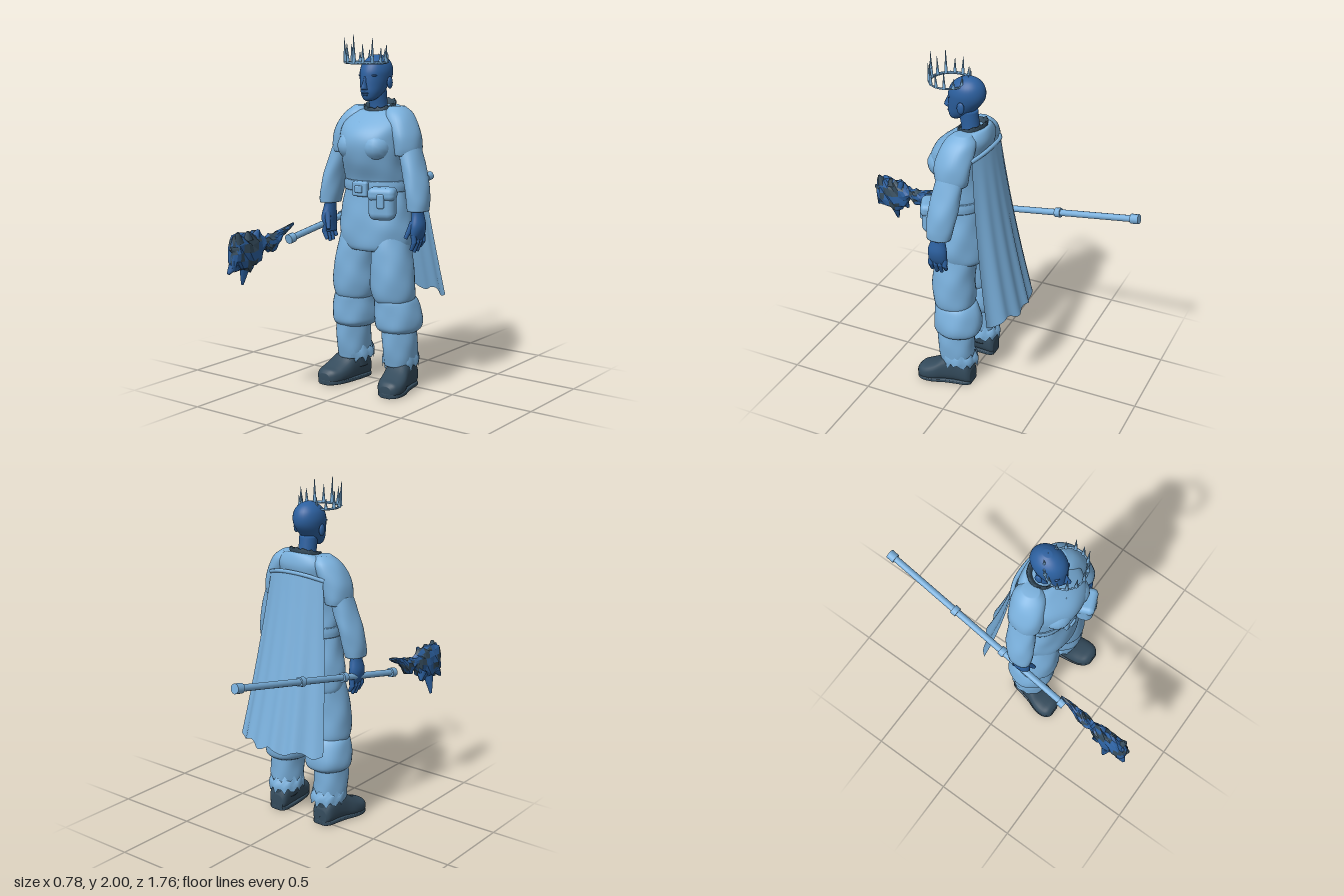
import * as THREE from 'three';
import { RoundedBoxGeometry } from 'three/addons/geometries/RoundedBoxGeometry.js';

const CX = 0.02; // body midline

const cloth = new THREE.MeshStandardMaterial({ color: 0x7ab0dc, side: THREE.DoubleSide });
cloth.name = 'paleBlueCloth';
const skin = new THREE.MeshStandardMaterial({ color: 0x2c609f });
skin.name = 'deepBlueSkin';
const leather = new THREE.MeshStandardMaterial({ color: 0x344b5c, side: THREE.DoubleSide });
leather.name = 'darkSlateLeather';

// Smooth skin over elliptical rows [x, y, z, rx, rz, tilt], listed bottom to top
function loft(rows, { seg = 32, steps = 5, power = 2, wave = () => 1, rag = () => 0, caps = true } = {}) {
  const ease = (a, b, c, d, t) =>
    b + 0.5 * t * (c - a + t * (2 * a - 5 * b + 4 * c - d + t * (3 * (b - c) + d - a)));
  const rings = [];
  for (let i = 0; i < rows.length - 1; i++) {
    const last = i === rows.length - 2;
    for (let s = 0; s < steps + (last ? 1 : 0); s++) {
      const r = [rows[Math.max(i - 1, 0)], rows[i], rows[i + 1], rows[Math.min(i + 2, rows.length - 1)]];
      rings.push([0, 1, 2, 3, 4, 5].map(k => ease(...r.map(q => q[k] || 0), s / steps)));
    }
  }
  if (caps) {
    const shut = r => [r[0], r[1], r[2], 0.0005, 0.0005, 0];
    rings.unshift(shut(rings[0]));
    rings.push(shut(rings[rings.length - 1]));
  }
  const pos = [], idx = [];
  const bend = v => Math.sign(v) * Math.abs(v) ** (2 / power);
  rings.forEach(([x, y, z, rx, rz, tilt], j) => {
    for (let i = 0; i < seg; i++) {
      const a = i / seg * Math.PI * 2, w = wave(a, y), sz = bend(Math.sin(a)) * rz * w;
      pos.push(x + bend(Math.cos(a)) * rx * w, y - tilt * sz + rag(i, j), z + sz);
      if (j < rings.length - 1) {
        const p = j * seg + i, q = j * seg + (i + 1) % seg;
        idx.push(p, p + seg, q, q, p + seg, q + seg);
      }
    }
  });
  const g = new THREE.BufferGeometry();
  g.setAttribute('position', new THREE.Float32BufferAttribute(pos, 3));
  g.setIndex(idx);
  g.computeVertexNormals();
  return g;
}

// Rod between two points
function rod(a, b, r1, r2 = r1, sides = 8) {
  const A = new THREE.Vector3(...a), B = new THREE.Vector3(...b), d = B.clone().sub(A);
  const g = new THREE.CylinderGeometry(r2, r1, d.length(), sides);
  g.applyQuaternion(new THREE.Quaternion().setFromUnitVectors(new THREE.Vector3(0, 1, 0), d.normalize()));
  return g.translate(...A.add(B).multiplyScalar(0.5).toArray());
}
const ball = (x, y, z, rx, ry, rz) => new THREE.SphereGeometry(1, 16, 12).scale(rx, ry, rz).translate(x, y, z);

export function createModel() {
  const model = new THREE.Group();
  const add = (name, geo, mat) => {
    const m = new THREE.Mesh(geo, mat);
    m.name = name;
    model.add(m);
    return m;
  };
  const folds = (n, amt) => (a, y) => 1 + amt * Math.sin(a * n + y * 23) + amt * 0.6 * Math.sin(a * 3 - y * 41);

  // Head and face
  const head = [[1.635, .135, .02, .022], [1.65, .125, .042, .042], [1.68, .105, .06, .07], [1.72, .085, .073, .09],
    [1.76, .07, .082, .104], [1.80, .064, .085, .106], [1.84, .06, .075, .092], [1.87, .056, .05, .062], [1.887, .053, .02, .025]];
  add('head', loft(head.map(([y, z, rx, rz]) => [CX, y, z, rx, rz])), skin);
  add('neck', loft([[CX, 1.52, .04, .065, .06], [CX, 1.6, .045, .052, .052], [CX, 1.7, .06, .053, .055]]), skin);
  add('nose', loft([[CX, 1.695, .17, .018, .02], [CX, 1.705, .178, .017, .027], [CX, 1.73, .17, .011, .025], [CX, 1.77, .16, .008, .015]], { seg: 12 }), skin);
  add('upperLip', ball(CX, 1.678, .17, .022, .006, .011), skin);
  add('lowerLip', ball(CX, 1.668, .166, .019, .007, .011), skin);

  // Bodice, belt and skirt of the tunic
  add('bodice', loft([[CX, 1.15, .07, .18, .125], [CX, 1.2, .072, .188, .135], [CX, 1.3, .098, .186, .152], [CX, 1.4, .106, .19, .164],
    [CX, 1.48, .085, .198, .155], [CX, 1.55, .04, .185, .122], [CX, 1.59, .035, .13, .1, .2], [CX, 1.595, .04, .085, .08, .25]],
  { seg: 48, wave: folds(7, .008) }), cloth);
  add('skirt', loft([[CX, .80, .065, .2, .145], [CX, .83, .065, .222, .157], [CX, .92, .068, .23, .157], [CX, 1.02, .07, .216, .145],
    [CX, 1.14, .07, .192, .132], [CX, 1.21, .07, .18, .128]], { seg: 48, wave: folds(6, .012) }), cloth);
  add('belt', loft([[CX, 1.135, .07, .196, .138], [CX, 1.165, .07, .198, .142], [CX, 1.195, .07, .194, .14]], { seg: 48 }), cloth);
  add('buckle', new RoundedBoxGeometry(.1, .085, .035, 2, .012).translate(CX, 1.15, .215), cloth);
  add('buckleTongue', new RoundedBoxGeometry(.05, .04, .02, 2, .008).translate(CX, 1.15, .234), cloth);
  add('collarLining', loft([[CX, 1.57, .035, .09, .08, .25], [CX, 1.615, .03, .096, .083, .3], [CX, 1.612, .035, .08, .07, .3], [CX, 1.58, .04, .06, .06, .2]],
    { steps: 2, rag: (i, j) => (j > 1 && j < 5 ? .007 * Math.sin(i * 2.4) : 0) }), leather);
  for (const k of [0, 1, 2]) // neck lacing
    add('lace', rod([CX - .025, 1.52 - k * .03, .195 + k * .022], [CX + .025, 1.5 - k * .03, .208 + k * .022], .005), cloth);

  // Hip pouch
  const pouch = new THREE.Group();
  pouch.name = 'pouch';
  const bag = new THREE.Mesh(new RoundedBoxGeometry(.15, .18, .1, 4, .04), cloth);
  const flap = new THREE.Mesh(new RoundedBoxGeometry(.155, .075, .11, 4, .03), cloth);
  const strap = new THREE.Mesh(new RoundedBoxGeometry(.04, .08, .02, 2, .008), cloth);
  bag.name = 'pouchBag'; flap.name = 'pouchFlap'; strap.name = 'pouchStrap';
  flap.position.set(0, .055, .003);
  strap.position.set(0, .02, .052);
  pouch.add(bag, flap, strap);
  pouch.position.set(.175, 1.08, .22);
  pouch.rotation.y = .4;
  model.add(pouch);

  // Paired parts: s = +1 is the model's left
  for (const s of [1, -1]) {
    const side = s > 0 ? 'left' : 'right';
    const rows = list => list.map(([c, ...r]) => [CX + s * c, ...r]);
    const X = c => CX + s * c;
    add(side + 'Ear', ball(X(.09), 1.735, .062, .012, .034, .022), skin);
    add(side + 'Eye', ball(X(.034), 1.752, .148, .016, .008, .012), skin);
    add(side + 'Brow', ball(X(.036), 1.775, .148, .026, .007, .014), skin);
    add(side + 'Bust', ball(X(.082), 1.385, .17, .088, .085, .095), cloth);

    // Arm
    add(side + 'ShortSleeve', loft(rows([[.212, 1.34, .06, .066, .092], [.212, 1.38, .06, .072, .1], [.195, 1.45, .058, .08, .104],
      [.162, 1.52, .05, .082, .1], [.135, 1.57, .04, .072, .085], [.12, 1.605, .035, .04, .05]]), { wave: folds(5, .015) }), cloth);
    add(side + 'LongSleeve', loft(rows([[.308, 1.04, .095, .054, .072], [.302, 1.1, .09, .061, .08], [.285, 1.19, .08, .064, .085],
      [.255, 1.29, .07, .06, .084], [.225, 1.39, .06, .055, .08]]), { wave: folds(4, .02) }), cloth);
    add(side + 'Palm', loft(rows([[.3, .87, .1, .02, .045], [.31, .91, .103, .03, .055], [.313, .96, .103, .036, .056], [.308, 1.02, .1, .031, .042], [.305, 1.07, .1, .03, .038]])), skin);
    for (let i = 0; i < 4; i++) {
      const z = .058 + i * .029, tip = [.835, .815, .812, .825][i];
      add(side + 'Finger', rod([X(.31), .91, z], [X(.315), .865, z], .016, .015), skin);
      add(side + 'FingerTip', rod([X(.315), .87, z], [X(.295), tip, z], .015, .01), skin);
    }
    add(side + 'Thumb', rod([X(.3), .98, .135], [X(.27), .89, .165], .019, .011), skin);

    // Padded trousers
    add(side + 'Thigh', loft(rows([[.135, .5, .085, .1, .1], [.136, .53, .085, .122, .12], [.132, .6, .09, .129, .127], [.13, .7, .092, .122, .124],
      [.12, .8, .085, .112, .122], [.11, .9, .075, .1, .11]]), { wave: folds(5, .012) }), cloth);
    add(side + 'KneePad', loft(rows([[.155, .335, .06, .1, .11], [.152, .36, .058, .13, .138], [.15, .41, .058, .137, .144], [.146, .48, .065, .127, .136],
      [.14, .525, .075, .115, .122], [.138, .54, .08, .09, .1]]), { wave: folds(6, .014) }), cloth);
    add(side + 'Shin', loft(rows([[.165, .14, .06, .085, .098], [.165, .2, .062, .094, .108], [.165, .28, .066, .096, .112], [.16, .37, .066, .094, .112]]), { wave: folds(5, .015) }), cloth);
    add(side + 'RaggedCuff', loft(rows([[.158, .135, .042, .1, .106], [.16, .17, .045, .102, .112], [.163, .205, .055, .094, .108]]),
      { caps: false, steps: 2, wave: folds(9, .035), rag: (i, j) => (j % 4 ? 0 : .022 * Math.sin(i * 2.3 + j)) }), cloth);

    // Boot: foot lofted heel to toe, plus shaft and sole
    const foot = [[.165, -.045, .05, .045, .045], [.168, -.02, .075, .064, .074], [.175, .05, .1, .072, .1], [.185, .11, .088, .077, .088],
      [.2, .17, .064, .084, .064], [.21, .225, .05, .08, .05], [.215, .262, .044, .062, .044], [.217, .282, .038, .035, .028]];
    add(side + 'Boot', loft(foot.map(([c, z, y, rx, ry]) => [X(c), z, -y, rx, ry]), { power: 2.5 }).rotateX(Math.PI / 2), leather);
    add(side + 'BootShaft', loft(rows([[.17, .08, .045, .072, .085], [.168, .14, .045, .074, .088], [.168, .195, .045, .08, .09]])), leather);
    add(side + 'Sole', loft(foot.map(([c, z, , rx]) => [X(c), z, -.014, rx * .98, .014]), { power: 5 }).rotateX(Math.PI / 2), leather);
  }

  // Cape: an arc that widens and swings back toward the hem
  const cape = new THREE.PlaneGeometry(1, 1, 48, 20), cp = cape.attributes.position;
  for (let i = 0; i < cp.count; i++) {
    const u = cp.getX(i) * 2, v = 0.5 - cp.getY(i);
    const half = .185 + .115 * v, sag = .05 + .062 * v;
    const flute = .008 * v * Math.sin(u * 16);
    cp.setXYZ(i, CX + u * half, 1.515 - 1.0 * v - .03 * u * u * (1 - v) + .015 * v * Math.cos(u * 11),
      -.1 - .155 * v - .05 * v * v + sag * u * u + flute);
  }
  cape.computeVertexNormals();
  add('cape', cape, cloth);
  add('capeCollar', new THREE.TubeGeometry(new THREE.CatmullRomCurve3([[-.17, 1.48, -.045], [-.08, 1.505, -.085], [.02, 1.512, -.095], [.12, 1.505, -.085], [.21, 1.48, -.045]]
    .map(p => new THREE.Vector3(...p))), 24, .012, 8), cloth);

  // Spiked circlet, tallest at the brow
  const band = loft([[CX + .005, 1.838, .168, .114, .105], [CX + .005, 1.853, .168, .122, .113]], { caps: false, steps: 1, seg: 40 });
  add('crownBand', band, cloth);
  add('crownRim', new THREE.TorusGeometry(1, .045, 6, 40).rotateX(Math.PI / 2).scale(.118, .12, .109).translate(CX + .005, 1.846, .168), cloth);
  for (let i = 0; i < 14; i++) {
    const a = Math.PI / 2 + i / 14 * Math.PI * 2, c = Math.cos(a), s = Math.sin(a);
    const h = (.065 + .085 * (s + 1) / 2) * (i % 2 ? .7 : 1);
    add('crownSpike', rod([CX + .005 + c * .117, 1.845, .168 + s * .108], [CX + .005 + c * .123, 1.847 + h, .168 + s * .114], .011, .001, 6), cloth);
  }

  // Staff with collars
  const at = t => [-.325 + .087 * t, .86 + .24 * t, .43 - 1.3 * t];
  add('staffShaft', rod(at(0), at(1), .019, .019, 10), cloth);
  for (const [t, w] of [[.015, .015], [.35, .013], [.62, .013], [.982, .018]])
    add('staffCollar', rod(at(t - w), at(t + w), .028, .028, 10), cloth);

  // Gnarled staff head, with dark crust on scattered faces
  const knot = [[-.315, .40, .945, .006, .008], [-.318, .45, .925, .014, .016], [-.322, .50, .905, .02, .022], [-.325, .545, .87, .03, .046],
    [-.33, .59, .857, .032, .05], [-.333, .63, .868, .024, .032], [-.338, .67, .852, .036, .08], [-.343, .74, .835, .042, .105],
    [-.346, .81, .842, .042, .1], [-.348, .86, .84, .034, .09], [-.35, .875, .835, .015, .05]];
  let gnarl = loft(knot.map(([x, z, y, rx, ry]) => [x, z, -y, rx, ry]),
    { seg: 14, steps: 2, wave: (a, z) => 1 + .14 * Math.sin(a * 5 + z * 60) + .08 * Math.sin(a * 3 - z * 95) }).rotateX(Math.PI / 2).toNonIndexed();
  gnarl.computeVertexNormals();
  for (let f = 0; f < gnarl.attributes.position.count / 6; f++)
    gnarl.addGroup(f * 6, 6, Math.sin(f * 1.7) + Math.sin(f * .37) > .35 ? 1 : 0);
  add('staffHead', gnarl, [skin, leather]);
  const thorns = [[.757, .76, .752, .65], [.83, .9, .845, .955], [.70, .9, .68, .95], [.76, .91, .765, .95], [.84, .78, .88, .73], [.85, .86, .885, .87], [.69, .8, .665, .75]];
  thorns.forEach(([z1, y1, z2, y2], i) => add('thorn',
    rod([-.345 + (y1 - .84) * .15, y1, z1], [-.345 + (y2 - .84) * .2, y2, z2], .034, .008, 6), i % 2 ? leather : skin));

  return model;
}
